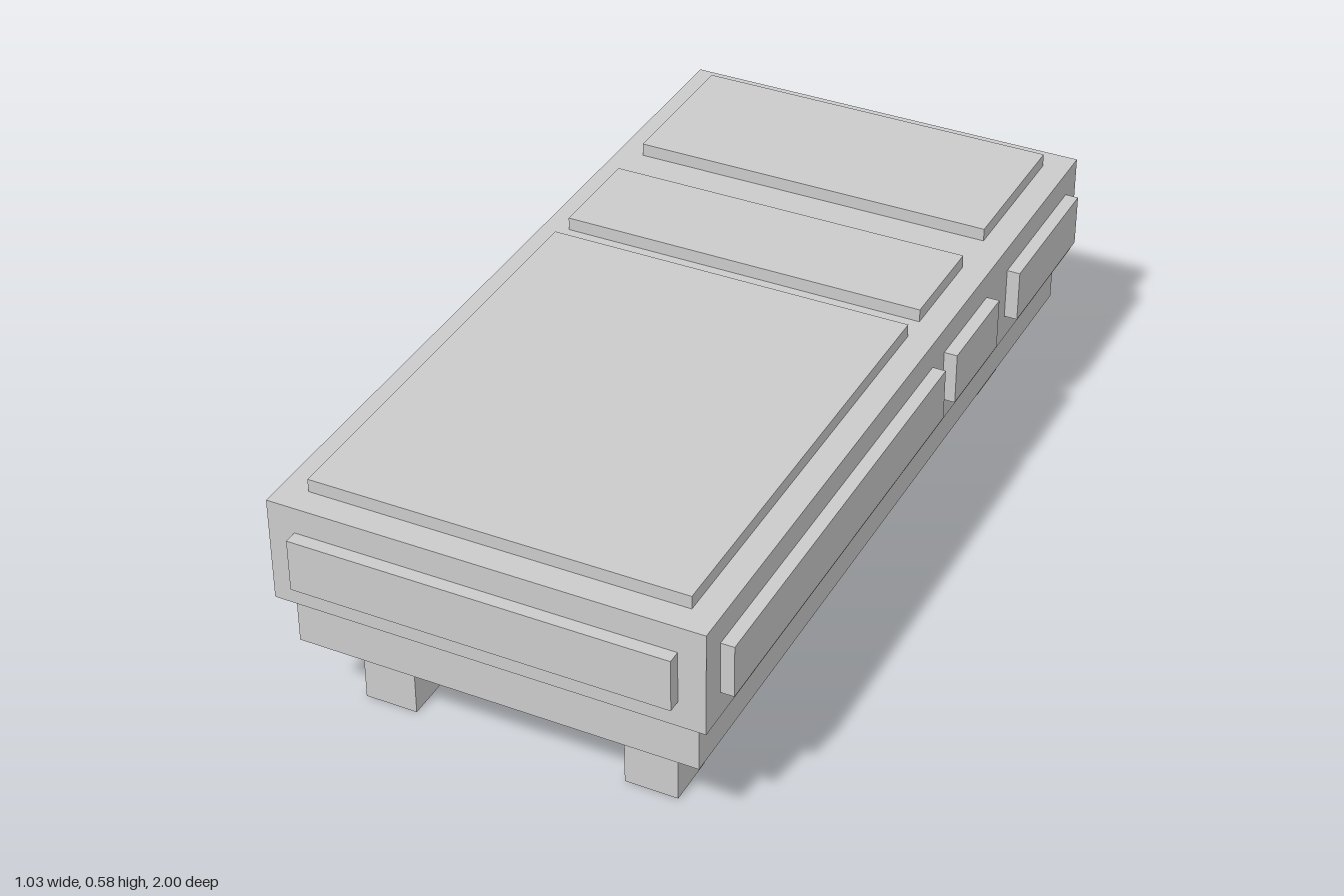
import * as THREE from 'three';

const material = new THREE.MeshStandardMaterial({ color: 0xcccccc, flatShading: true });

// Box given by its [min, max] extent along each axis
function box(name, [x0, x1], [y0, y1], [z0, z1]) {
  const mesh = new THREE.Mesh(new THREE.BoxGeometry(x1 - x0, y1 - y0, z1 - z0), material);
  mesh.name = name;
  mesh.position.set((x0 + x1) / 2, (y0 + y1) / 2, (z0 + z1) / 2);
  return mesh;
}

export function createModel() {
  const group = new THREE.Group();
  group.name = 'bed';

  // Frame and the wider mattress block on top of it
  group.add(box('baseFrame', [-0.453, 0.453], [0.183, 0.305], [-0.94, 0.94]));
  group.add(box('mattress', [-0.483, 0.483], [0.305, 0.547], [-0.97, 0.97]));

  // Four square legs
  for (const sx of [-1, 1]) {
    for (const sz of [-1, 1]) {
      const leg = box('leg', [-0.06, 0.06], [0, 0.183], [-0.06, 0.06]);
      leg.position.x = sx * 0.302;
      leg.position.z = sz * 0.79;
      group.add(leg);
    }
  }

  // Raised panels: blanket, fold and pillow, on the top and both sides
  const sections = { blanket: [-0.122, 0.909], fold: [-0.426, -0.185], pillow: [-0.909, -0.547] };
  const panelHeight = [0.365, 0.486];
  for (const [name, z] of Object.entries(sections)) {
    group.add(box(name + 'Top', [-0.423, 0.423], [0.547, 0.577], z));
    group.add(box(name + 'LeftSide', [0.483, 0.513], panelHeight, z));
    group.add(box(name + 'RightSide', [-0.513, -0.483], panelHeight, z));
  }

  // End panels
  group.add(box('frontPanel', [-0.423, 0.423], panelHeight, [0.97, 1]));
  group.add(box('backPanel', [-0.423, 0.423], panelHeight, [-1, -0.97]));

  return group;
}
